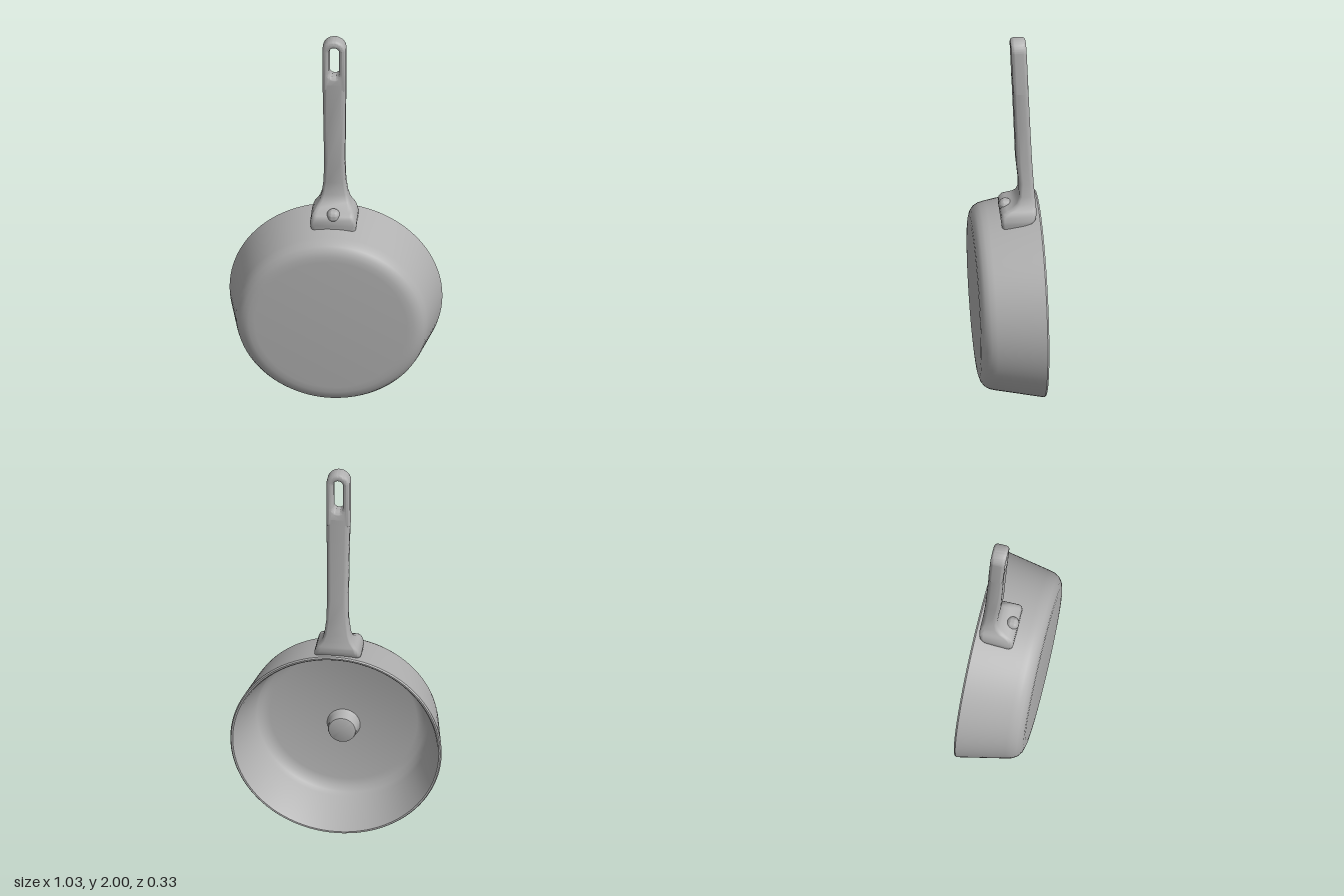
import * as THREE from 'three';
import { toCreasedNormals } from 'three/addons/utils/BufferGeometryUtils.js';

const metal = new THREE.MeshStandardMaterial({ color: 0xb0b0b0 });
metal.name = 'grey metal';

function part(name, geometry, crease = 0.7) {
  const mesh = new THREE.Mesh(toCreasedNormals(geometry, crease), metal);
  mesh.name = name;
  return mesh;
}

// Lathe turned so that its axis points along z; profile is [radius, z]
function latheZ(profile, segments) {
  return new THREE.LatheGeometry(profile.map(p => new THREE.Vector2(...p)), segments).rotateX(Math.PI / 2);
}

// Rounded rectangle ring in the xz plane
function ring([y, hw, zf, zb]) {
  const pts = [], steps = 5, r = Math.min(0.022, (zf - zb) / 2.2);
  const zc = (zf + zb) / 2, hd = (zf - zb) / 2;
  [[1, 1], [-1, 1], [-1, -1], [1, -1]].forEach(([sx, sz], q) => {
    for (let i = 0; i <= steps; i++) {
      const a = (q + i / steps) * Math.PI / 2;
      pts.push([sx * (hw - r) + r * Math.cos(a), y, zc + sz * (hd - r) + r * Math.sin(a)]);
    }
  });
  return pts;
}

// Skin over rings stacked upward
function loft(sections) {
  const rings = sections.map(ring), n = rings[0].length, index = [];
  for (let i = 0; i < rings.length - 1; i++) {
    for (let j = 0; j < n; j++) {
      const a = i * n + j, b = i * n + (j + 1) % n;
      index.push(a, a + n, b, b, a + n, b + n);
    }
  }
  const geo = new THREE.BufferGeometry();
  geo.setAttribute('position', new THREE.Float32BufferAttribute(rings.flat(2), 3));
  geo.setIndex(index);
  return geo;
}

// Upright capsule outline; a flat lower end if square is set
function capsule(target, hw, y0, y1, square) {
  target.absarc(0, y1 - hw, hw, 0, Math.PI, false);
  if (square) {
    target.lineTo(-hw, y0);
    target.lineTo(hw, y0);
  } else {
    target.absarc(0, y0 + hw, hw, Math.PI, Math.PI * 2, false);
  }
  return target;
}

export function createModel() {
  const model = new THREE.Group();
  model.name = 'fryingPan';

  // Hollow bowl: inner floor, inner wall, rim, outer wall, base
  const bowlGeo = latheZ([
    [0, 0.115], [0.36, 0.112], [0.395, 0.102], [0.418, 0.08], [0.428, 0.05],
    [0.495, -0.15], [0.503, -0.16], [0.511, -0.161], [0.516, -0.153],
    [0.469, 0.085], [0.462, 0.112], [0.448, 0.135], [0.427, 0.151], [0.4, 0.159], [0.37, 0.161], [0, 0.161],
  ], 96);
  // Slightly oval, with a base that leans a little
  const p = bowlGeo.attributes.position;
  for (let i = 0; i < p.count; i++) {
    const y = p.getY(i) * 0.97, z = p.getZ(i);
    p.setXYZ(i, p.getX(i), y + 0.502, z + 0.016 * y * (z + 0.16) / 0.32);
  }
  model.add(part('bowl', bowlGeo));

  // Round knob standing on the inner floor
  const knob = part('innerKnob', latheZ([
    [0, 0.05], [0.058, 0.05], [0.066, 0.053], [0.069, 0.06], [0.072, 0.1], [0.085, 0.12],
  ], 32));
  knob.position.y = 0.46;
  model.add(knob);

  // Handle shaft flaring into the foot: [y, half width, front z, back z]
  model.add(part('handleShaft', loft([
    [0.95, 0.108, 0.03, -0.03], [0.985, 0.113, 0.035, -0.12], [1.0, 0.112, 0.035, -0.132],
    [1.02, 0.106, 0.034, -0.136], [1.035, 0.1, 0.026, -0.137], [1.045, 0.092, 0.006, -0.137],
    [1.055, 0.085, -0.02, -0.136], [1.075, 0.073, -0.042, -0.135], [1.11, 0.063, -0.055, -0.132],
    [1.18, 0.054, -0.054, -0.127], [1.3, 0.051, -0.042, -0.12], [1.5, 0.053, -0.035, -0.111],
    [1.75, 0.057, -0.0255, -0.1005],
  ]), 0.9));

  // Rounded handle end with the hanging slot
  const outline = capsule(new THREE.Shape(), 0.057, 1.71, 2, true);
  outline.holes.push(capsule(new THREE.Path(), 0.024, 1.79, 1.96, false));
  const endGeo = new THREE.ExtrudeGeometry(outline, {
    depth: 0.039, curveSegments: 16, bevelEnabled: true, bevelSegments: 4,
    bevelSize: 0.016, bevelThickness: 0.018, bevelOffset: -0.016,
  });
  endGeo.translate(0, 0, -0.0195);
  const e = endGeo.attributes.position;
  for (let i = 0; i < e.count; i++) e.setZ(i, e.getZ(i) - 0.053 - 0.04 * (2 - e.getY(i)));
  model.add(part('handleEnd', endGeo, 0.9));

  // Domed rivet on the foot
  const rivet = part('rivet', new THREE.SphereGeometry(0.033, 24, 16));
  rivet.position.set(0, 1.032, 0.008);
  model.add(rivet);

  return model;
}
